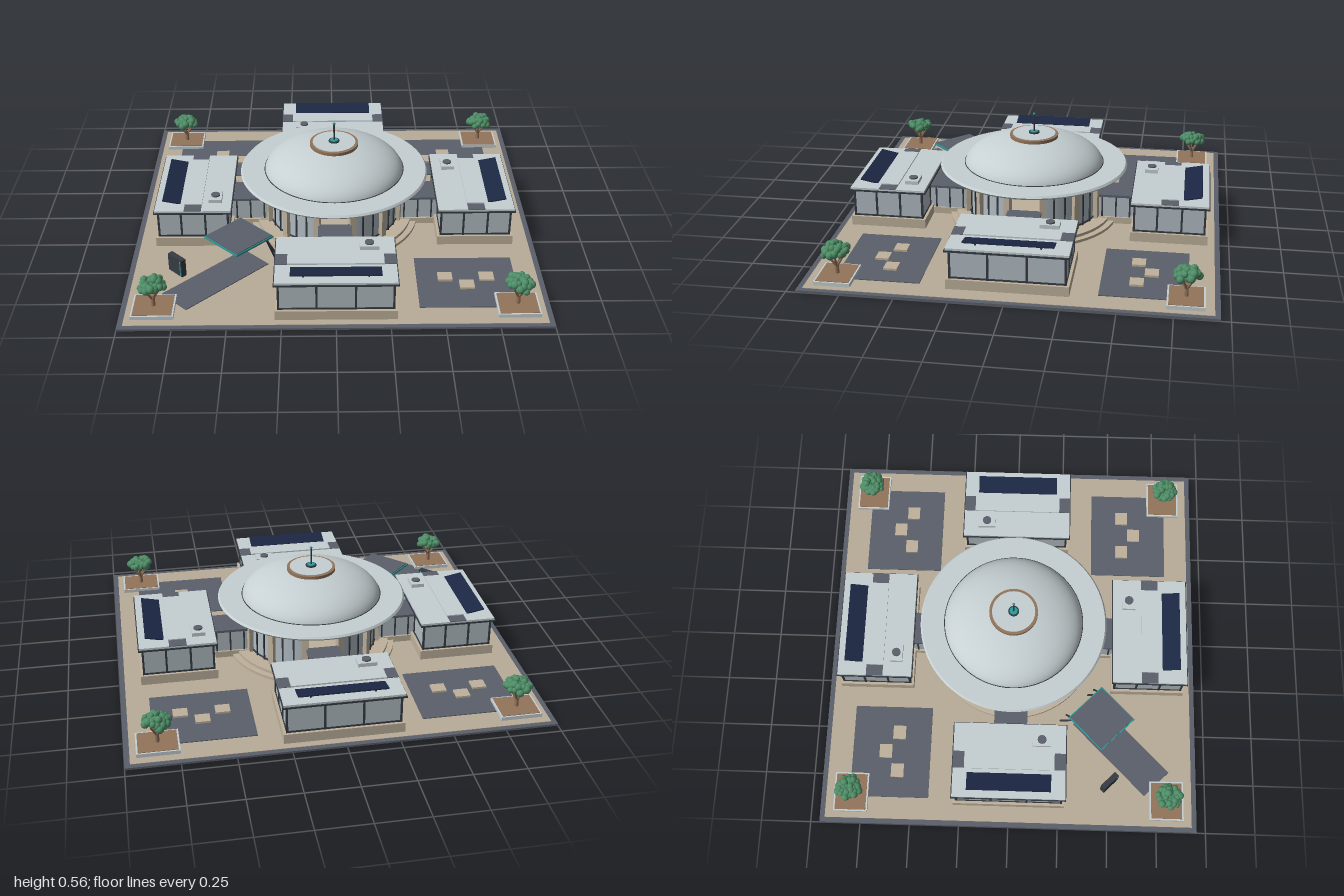
import * as THREE from 'three';

const mat = (name, color, side = THREE.FrontSide) => {
  const m = new THREE.MeshStandardMaterial({ color, side });
  m.name = name;
  return m;
};
const M = {
  paving: mat('paving beige', 0xb9ac98),
  slate: mat('slate grey', 0x5b606b),
  shell: mat('pale shell', 0xc6d0d3),
  glass: mat('pale glass', 0xb2bdc3, THREE.DoubleSide),
  frame: mat('dark frame', 0x363c43),
  solar: mat('solar navy', 0x1c2744),
  brown: mat('earth brown', 0x94745a),
  leaf: mat('leaf green', 0x4f8f68),
  teal: mat('teal accent', 0x2a9d9d),
  stone: mat('warm stone', 0xbfb29c),
};

function add(parent, name, geo, material, x = 0, y = 0, z = 0) {
  const m = new THREE.Mesh(geo, material);
  m.name = name;
  m.position.set(x, y, z);
  parent.add(m);
  return m;
}
// Box given by its bottom height
const box = (p, name, material, w, h, d, x, y0, z) =>
  add(p, name, new THREE.BoxGeometry(w, h, d), material, x, y0 + h / 2, z);
// Upright cylinder given by its bottom height
const disc = (p, name, material, r, h, x, y0, z, seg = 48, rTop = r) =>
  add(p, name, new THREE.CylinderGeometry(rTop, r, h, seg), material, x, y0 + h / 2, z);
// Thin round bar between two points
function bar(p, name, material, a, b, r, rTop = r) {
  const A = new THREE.Vector3(...a), B = new THREE.Vector3(...b);
  const m = add(p, name, new THREE.CylinderGeometry(rTop, r, A.distanceTo(B), 7), material);
  m.position.copy(A).add(B).multiplyScalar(0.5);
  m.quaternion.setFromUnitVectors(new THREE.Vector3(0, 1, 0), B.sub(A).normalize());
}
function group(parent, name, x = 0, y = 0, z = 0, ry = 0) {
  const g = new THREE.Group();
  g.name = name;
  g.position.set(x, y, z);
  g.rotation.y = ry;
  parent.add(g);
  return g;
}

function buildGround(root) {
  const g = group(root, 'ground');
  box(g, 'baseSlab', M.slate, 2, 0.01, 1.91, 0, 0, 0);
  box(g, 'pavedTop', M.paving, 1.95, 0.004, 1.86, 0, 0.008, 0);
  for (const [sx, sz] of [[-1, -1], [1, -1], [1, 1]]) {
    const c = group(g, 'courtyard', sx * 0.627, 0, sz * 0.61);
    box(c, 'courtyardPaving', M.slate, 0.475, 0.006, 0.4, 0, 0.01, 0);
    for (const [x, z] of [[0, 0.03], [-0.1, -0.035], [0.1, -0.035]])
      box(c, 'seatBlock', M.stone, 0.07, 0.014, 0.065, x, 0.012, z * sz);
  }
}

function buildHall(root) {
  const g = group(root, 'domeHall');
  disc(g, 'lowerStep', M.stone, 0.43, 0.016, 0, 0.01, 0, 64);
  disc(g, 'upperStep', M.stone, 0.4, 0.016, 0, 0.025, 0, 64);

  // Glass walls between the four doorways, with mullions and columns
  for (let q = 0; q < 4; q++) {
    const a0 = q * Math.PI / 2;
    add(g, 'curvedGlass', new THREE.CylinderGeometry(0.33, 0.33, 0.25, 16, 1, true,
      a0 + Math.PI / 12, Math.PI / 3), M.glass, 0, 0.165, 0);
    for (let i = 0; i < 3; i++) {
      const a = a0 + (15 + 30 * i) * Math.PI / 180;
      const c = box(g, 'column', M.stone, 0.03, 0.25, 0.034,
        Math.sin(a) * 0.335, 0.04, Math.cos(a) * 0.335);
      c.rotation.y = a;
    }
    for (const deg of [25, 35, 55, 65]) {
      const a = a0 + deg * Math.PI / 180;
      const m = box(g, 'mullion', M.frame, 0.007, 0.25, 0.01,
        Math.sin(a) * 0.331, 0.04, Math.cos(a) * 0.331);
      m.rotation.y = a;
    }
    const d = group(g, 'doorway', 0, 0, 0, a0);
    box(d, 'lintel', M.brown, 0.17, 0.012, 0.02, 0, 0.263, 0.325);
  }
  for (const y of [0.05, 0.28]) {
    const r = add(g, 'wallRail', new THREE.TorusGeometry(0.331, 0.005, 6, 64), M.frame, 0, y, 0);
    r.rotation.x = Math.PI / 2;
  }

  // Wide eave and elliptical dome
  disc(g, 'eave', M.shell, 0.468, 0.01, 0, 0.284, 0, 96, 0.476);
  disc(g, 'eaveTop', M.shell, 0.476, 0.01, 0, 0.294, 0, 96, 0.468);
  const profile = [];
  for (let i = 0; i <= 24; i++) {
    const a = i / 24 * Math.PI / 2;
    profile.push(new THREE.Vector2(0.355 * Math.cos(a), 0.285 + 0.158 * Math.sin(a)));
  }
  add(g, 'dome', new THREE.LatheGeometry(profile, 72), M.shell);
  const seam = add(g, 'domeSeam', new THREE.TorusGeometry(0.352, 0.004, 6, 72), M.frame, 0, 0.303, 0);
  seam.rotation.x = Math.PI / 2;

  // Crown and mast
  disc(g, 'crownRing', M.brown, 0.122, 0.016, 0, 0.434, 0, 48);
  disc(g, 'crownCap', M.shell, 0.108, 0.006, 0, 0.447, 0, 48);
  disc(g, 'mastFoot', M.frame, 0.027, 0.008, 0, 0.452, 0, 24);
  disc(g, 'mastCollar', M.teal, 0.02, 0.004, 0, 0.459, 0, 24);
  disc(g, 'mast', M.frame, 0.004, 0.1, 0, 0.455, 0, 8);
  add(g, 'mastTip', new THREE.SphereGeometry(0.007, 10, 8), M.teal, 0, 0.553, 0);
}

// One pavilion, facing +z before it is turned
function buildWing(root, ry, accent) {
  const g = group(root, 'wing', 0, 0, 0, ry);
  const cz = 0.705, W = 0.53, D = 0.345;
  box(g, 'plinth', M.stone, 0.565, 0.05, 0.38, 0, 0.01, cz);
  box(g, 'glassWalls', M.glass, W, 0.14, D, 0, 0.06, cz);
  for (const s of [-1, 1]) {
    for (const x of [-W / 2, -0.09, 0.09, W / 2])
      box(g, 'post', M.frame, 0.01, 0.14, 0.01, x, 0.06, cz + s * D / 2);
    for (const z of [-0.06, 0.06])
      box(g, 'endPost', M.frame, 0.01, 0.14, 0.01, s * W / 2, 0.06, cz + z);
    for (const y of [0.06, 0.192]) {
      box(g, 'longRail', M.frame, W, 0.008, 0.008, 0, y, cz + s * D / 2);
      box(g, 'endRail', M.frame, 0.008, 0.008, D, s * W / 2, y, cz);
    }
  }
  if (accent) box(g, 'eaveStrip', M.teal, W, 0.005, 0.006, 0, 0.19, cz + D / 2 + 0.004);

  // Roof with dark edge, ridge, solar panel and vent
  box(g, 'roofEdge', M.frame, 0.572, 0.008, 0.388, 0, 0.198, cz);
  box(g, 'roof', M.shell, 0.562, 0.012, 0.378, 0, 0.204, cz);
  box(g, 'roofBand', M.slate, 0.564, 0.003, 0.085, 0, 0.215, cz);
  box(g, 'roofRidge', M.shell, 0.45, 0.008, 0.088, 0, 0.215, cz);
  const p = box(g, 'solarPanel', M.solar, 0.42, 0.006, 0.092, 0, 0.221, 0.815);
  p.rotation.x = -0.2;
  for (const x of [-0.15, 0.15])
    box(g, 'panelLeg', M.frame, 0.008, 0.018, 0.008, x, 0.214, 0.845);
  box(g, 'ventBox', M.shell, 0.092, 0.02, 0.066, 0.16, 0.215, 0.597);
  disc(g, 'ventFan', M.slate, 0.022, 0.008, 0.16, 0.234, 0.597, 20);

  // Link to the hall
  box(g, 'linkFloor', M.stone, 0.17, 0.035, 0.2, 0, 0.01, 0.43);
  box(g, 'linkGlass', M.glass, 0.15, 0.115, 0.2, 0, 0.04, 0.43);
  box(g, 'linkRoof', M.slate, 0.168, 0.012, 0.2, 0, 0.154, 0.43);
  for (const s of [-1, 1])
    for (const z of [0.36, 0.43, 0.5])
      box(g, 'linkPost', M.frame, 0.008, 0.115, 0.008, s * 0.075, 0.04, z);
}

// Canopy, path and sign at the diagonal entrance
function buildEntrance(root) {
  const g = group(root, 'entrance', -0.465, 0, 0.46, -Math.PI / 4);
  box(g, 'path', M.slate, 0.178, 0.006, 0.52, 0, 0.01, 0.155);
  box(g, 'canopyEdge', M.teal, 0.236, 0.008, 0.236, 0, 0.178, 0);
  box(g, 'canopy', M.slate, 0.226, 0.018, 0.226, 0, 0.172, 0);
  for (const s of [-1, 1])
    for (const dx of [-0.022, 0.022])
      bar(g, 'canopyStrut', M.frame, [s * 0.1 + dx, 0.01, -0.165], [s * 0.1, 0.175, -0.085], 0.005);
  const sign = group(root, 'signPost', -0.765, 0, 0.51, -Math.PI / 4);
  box(sign, 'signSlab', M.frame, 0.1, 0.095, 0.028, 0, 0.01, 0);
  box(sign, 'signStrip', M.teal, 0.006, 0.08, 0.03, 0.04, 0.017, 0);
}

function buildPlanter(root, x, z, seed) {
  let s = seed;
  const rnd = () => (s = (s * 16807) % 2147483647) / 2147483647;
  const g = group(root, 'planter', x, 0, z);
  box(g, 'planterBox', M.shell, 0.198, 0.02, 0.172, 0, 0.01, 0);
  box(g, 'planterSoil', M.brown, 0.182, 0.004, 0.156, 0, 0.028, 0);
  bar(g, 'trunk', M.brown, [0, 0.028, 0], [0, 0.09, 0], 0.011, 0.008);
  for (let i = 0; i < 5; i++) {
    const a = i * 1.257 + seed;
    bar(g, 'branch', M.brown, [0, 0.065, 0], [Math.cos(a) * 0.042, 0.13, Math.sin(a) * 0.042], 0.006, 0.004);
  }
  const leafGeo = new THREE.IcosahedronGeometry(0.019, 1);
  for (let i = 0; i < 34; i++) {
    const r = 0.056 * Math.sqrt((i + 0.5) / 34), a = i * 2.4 + seed;
    const m = add(g, 'leafClump', leafGeo, M.leaf, Math.cos(a) * r,
      0.158 - 5 * r * r + (rnd() - 0.5) * 0.03, Math.sin(a) * r);
    m.scale.setScalar(0.75 + rnd() * 0.4);
  }
}

export function createModel() {
  const root = new THREE.Group();
  root.name = 'domePavilionCampus';
  buildGround(root);
  buildHall(root);
  for (let i = 0; i < 4; i++) buildWing(root, i * Math.PI / 2, i === 1);
  buildEntrance(root);
  let seed = 11;
  for (const x of [-0.846, 0.846])
    for (const z of [-0.802, 0.802]) buildPlanter(root, x, z, seed += 17);
  return root;
}
